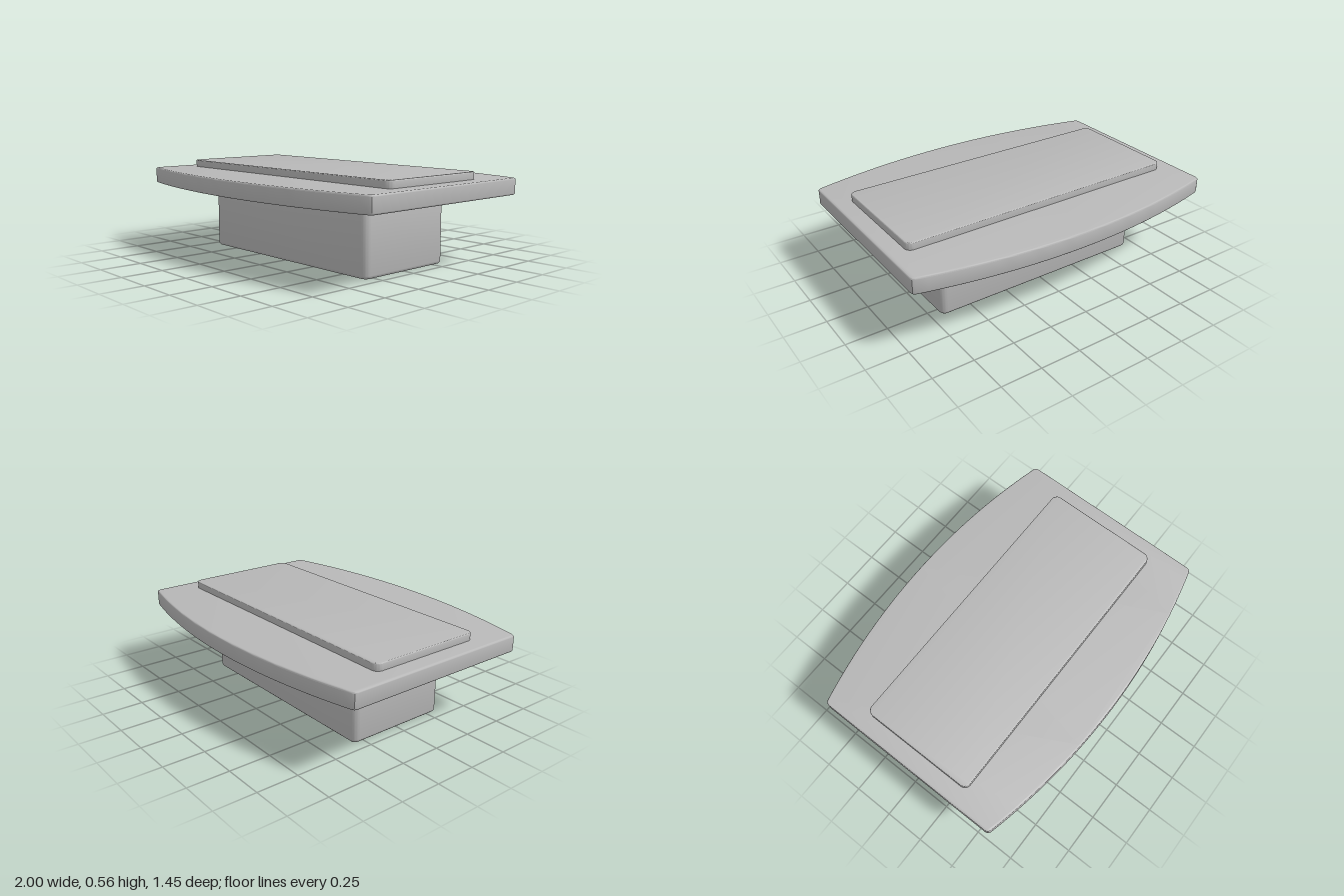
import * as THREE from 'three';
import { toCreasedNormals } from 'three/addons/utils/BufferGeometryUtils.js';

// Rectangle with rounded corners, given half sizes
function roundedRect(hx, hz, r) {
  const s = new THREE.Shape();
  s.absarc(hx - r, hz - r, r, 0, Math.PI / 2);
  s.absarc(-hx + r, hz - r, r, Math.PI / 2, Math.PI);
  s.absarc(-hx + r, -hz + r, r, Math.PI, Math.PI * 1.5);
  s.absarc(hx - r, -hz + r, r, Math.PI * 1.5, Math.PI * 2);
  s.closePath();
  return s;
}

// Rectangle whose two long sides bow outwards along an arc
function bowedRect(hx, zEnd, zMid, r) {
  const radius = (hx * hx + (zMid - zEnd) ** 2) / (2 * (zMid - zEnd));
  const pts = [];
  const x1 = hx - r;
  const steps = 32;
  for (const side of [1, -1]) {
    pts.push(new THREE.Vector2(side * hx, side * (zEnd - r)));
    pts.push(new THREE.Vector2(side * (hx - r * 0.25), side * (zEnd - r * 0.2)));
    for (let i = 0; i <= steps; i++) {
      const x = x1 - (2 * x1 * i) / steps;
      const z = Math.sqrt(radius * radius - x * x) - radius + zMid;
      pts.push(new THREE.Vector2(side * x, side * z));
    }
    pts.push(new THREE.Vector2(-side * (hx - r * 0.25), side * (zEnd - r * 0.2)));
    pts.push(new THREE.Vector2(-side * hx, side * (zEnd - r)));
  }
  return new THREE.Shape(pts);
}

// Upright slab from y0 to y1 with softened rims
function slab(name, shape, y0, y1, bevel, material, segments = 3) {
  const geo = new THREE.ExtrudeGeometry(shape, {
    depth: y1 - y0 - 2 * bevel,
    bevelThickness: bevel,
    bevelSize: bevel,
    bevelOffset: -bevel,
    bevelSegments: segments,
    curveSegments: 6,
  });
  geo.translate(0, 0, bevel);
  geo.rotateX(-Math.PI / 2);
  geo.translate(0, y0, 0);
  const mesh = new THREE.Mesh(toCreasedNormals(geo, 0.7), material);
  mesh.name = name;
  return mesh;
}

export function createModel() {
  const grey = new THREE.MeshStandardMaterial({ color: 0xb8b8b8 });
  grey.name = 'satin grey';

  const model = new THREE.Group();
  model.name = 'bowedKnob';
  model.add(
    slab('base', roundedRect(0.695, 0.325, 0.04), 0, 0.45, 0.02, grey),
    // Small flare where the base meets the plate
    slab('collar', roundedRect(0.707, 0.337, 0.05), 0.393, 0.45, 0.016, grey, 2),
    slab('bowedPlate', bowedRect(1, 0.595, 0.723, 0.02), 0.413, 0.512, 0.01, grey),
    slab('topPanel', roundedRect(0.895, 0.36, 0.04), 0.49, 0.556, 0.006, grey),
  );
  return model;
}
